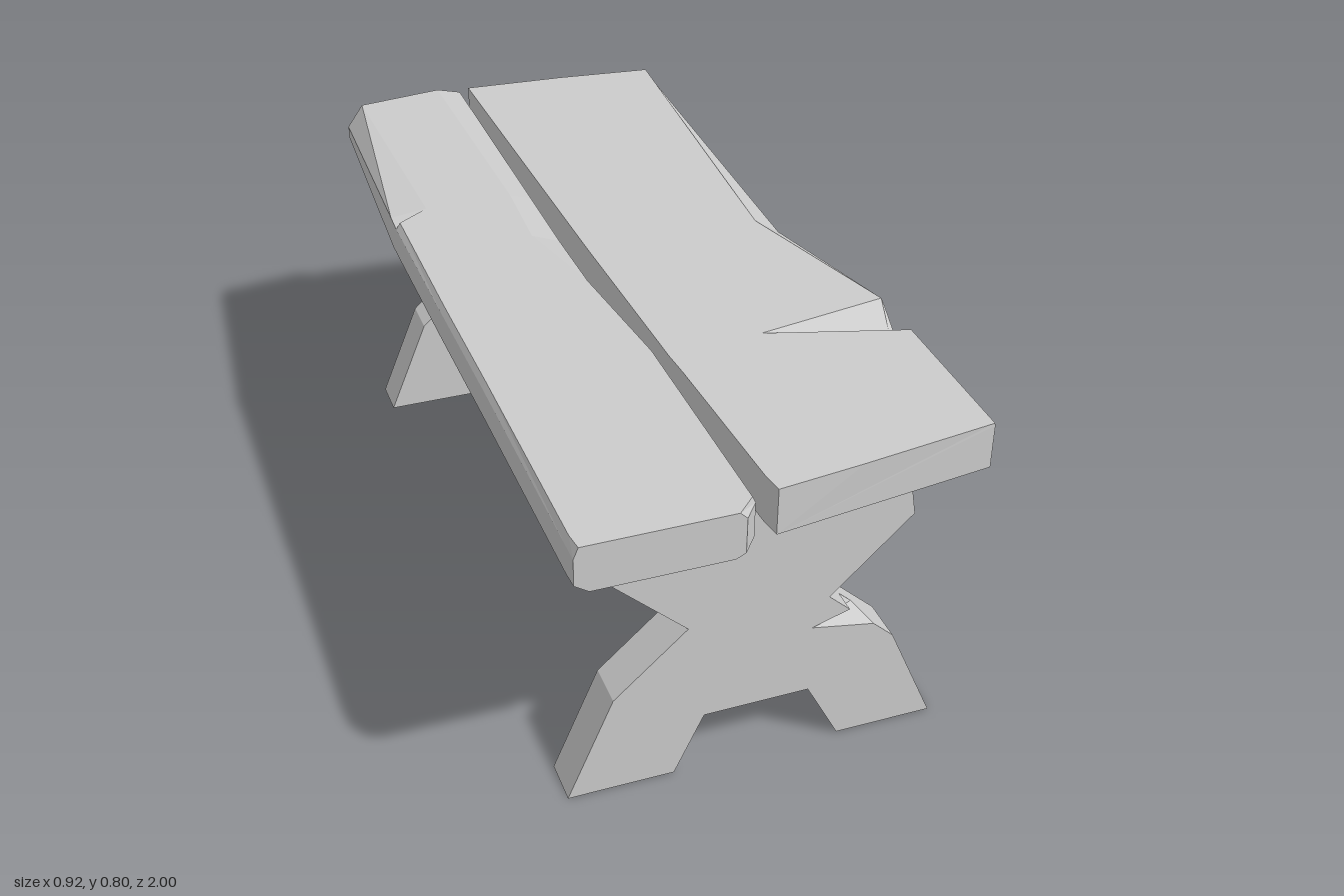
import * as THREE from 'three';

const wood = new THREE.MeshStandardMaterial({ color: 0xcccccc, flatShading: true });

function addMesh(parent, name, geometry) {
  const mesh = new THREE.Mesh(geometry, wood);
  mesh.name = name;
  parent.add(mesh);
  return mesh;
}

// Skin rings of [x, y, z] points, ordered from back (-z) to front, each
// counter-clockwise seen from the front, and close both ends with a fan.
function loft(rings) {
  const pos = [];
  const tri = (a, b, c) => pos.push(...a, ...b, ...c);
  const n = rings[0].length;
  for (let s = 0; s + 1 < rings.length; s++) {
    const a = rings[s], b = rings[s + 1];
    for (let i = 0; i < n; i++) {
      const j = (i + 1) % n;
      tri(a[i], a[j], b[j]);
      tri(a[i], b[j], b[i]);
    }
  }
  const first = rings[0], last = rings[rings.length - 1];
  for (let i = 1; i + 1 < n; i++) {
    tri(first[0], first[i + 1], first[i]);
    tri(last[0], last[i], last[i + 1]);
  }
  const g = new THREE.BufferGeometry();
  g.setAttribute('position', new THREE.Float32BufferAttribute(pos, 3));
  g.computeVertexNormals();
  return g;
}

const TOP = 0.795, BOTTOM = 0.69;

// Left board: worn bevels on both upper edges
function leftBoard() {
  // z at outer edge, z at inner edge, outer x, top outer x, outer bevel y, top inner x, inner x, inner bevel y
  const sections = [
    [-0.97, -1.0, -0.43, -0.39, 0.74, -0.18, -0.12, 0.78],
    [-0.35, -0.35, -0.46, -0.375, 0.785, -0.17, -0.12, 0.78],
    [-0.3, -0.14, -0.46, -0.45, 0.78, -0.18, -0.115, 0.77],
    [0.1, 0.1, -0.458, -0.45, 0.78, -0.125, -0.1, 0.74],
    [0.42, 0.42, -0.455, -0.447, 0.78, -0.092, -0.085, 0.77],
    [0.96, 0.96, -0.452, -0.445, 0.775, -0.09, -0.083, 0.78],
    [1.0, 1.0, -0.45, -0.44, 0.77, -0.13, -0.115, 0.78],
  ];
  return loft(sections.map(([zo, zi, xo, xto, yo, xti, xi, yi]) => {
    const outer = (x, y) => [x, y, zo], inner = (x, y) => [x, y, zi];
    return [
      outer(xo + 0.03, BOTTOM), inner(xi - 0.02, BOTTOM), inner(xi, 0.7), inner(xi, yi),
      inner(xti, TOP), outer(xto, TOP), outer(xo, yo), outer(xo, 0.71),
    ];
  }));
}

// Right board: waisted outer edge with a splintered notch near the front
function rightBoard() {
  const tip = [0.15, TOP, 0.43];
  // z at inner edge, z at outer edge, inner x, outer x, low y, high y, top outer x, top outer y, top middle point
  const sections = [
    [-0.985, -0.945, -0.1, 0.385, 0.72, 0.79, 0.385, TOP, [0.15, TOP, -0.97]],
    [-0.04, -0.04, -0.08, 0.39, 0.72, 0.755, 0.33, TOP, [0.15, TOP, -0.04]],
    [0.38, 0.38, -0.067, 0.455, 0.72, 0.785, 0.45, TOP, tip],
    [0.45, 0.45, -0.065, 0.455, 0.715, 0.735, 0.44, 0.745, tip],
    [0.52, 0.52, -0.06, 0.455, 0.71, 0.785, 0.452, TOP, tip],
    [0.91, 0.89, -0.042, 0.45, BOTTOM + 0.003, 0.79, 0.448, TOP, [0.15, TOP, 0.905]],
    [0.955, 0.892, -0.035, 0.449, BOTTOM + 0.003, 0.79, 0.447, TOP, [0.15, TOP, 0.933]],
  ];
  return loft(sections.map(([zi, zo, xi, xo, yl, yh, xt, yt, mid]) => [
    [xi, BOTTOM, zi], [xo - (yl - BOTTOM) * 0.6, BOTTOM, zo], [xo, yl, zo],
    [xo, yh, zo], [xt, yt, zo], mid, [xi, TOP, zi],
  ]));
}

// X-shaped trestle outline; the optional chip points cut into its +x edge
function trestleShape(chip = []) {
  return new THREE.Shape([
    [-0.415, 0], [-0.18, 0], [-0.115, 0.142], [0.12, 0.144], [0.195, 0], [0.415, 0],
    [0.31, 0.24], ...chip, [0.155, 0.385], [0.333, 0.555], [0.31, BOTTOM],
    [-0.31, BOTTOM], [-0.337, 0.555], [-0.155, 0.385], [-0.315, 0.24],
  ].map(([x, y]) => new THREE.Vector2(x, y)));
}

function slab(shape, depth, z) {
  return new THREE.ExtrudeGeometry(shape, { depth, bevelEnabled: false }).translate(0, 0, z);
}

// Front layer of a trestle whose chip runs out to the edge at its rear
function chippedSlab(depth, z) {
  const tip = [0.12, 0.312];
  const g = slab(trestleShape([[0.262, 0.285], tip, [0.204, 0.339]]), depth, z);
  const p = g.attributes.position;
  for (let i = 0; i < p.count; i++) {
    const atTip = Math.hypot(p.getX(i) - tip[0], p.getY(i) - tip[1]) < 1e-4;
    if (atTip && p.getZ(i) < z + depth / 2) p.setXY(i, 0.232, 0.313);
  }
  g.computeVertexNormals();
  return g;
}

export function createModel() {
  const bench = new THREE.Group();
  bench.name = 'bench';

  addMesh(bench, 'leftSeatBoard', leftBoard());
  addMesh(bench, 'rightSeatBoard', rightBoard());

  // Trestle legs, the front one in two layers for its chip
  addMesh(bench, 'backTrestle', slab(trestleShape(), 0.1, -0.84));
  const front = new THREE.Group();
  front.name = 'frontTrestle';
  bench.add(front);
  addMesh(front, 'frontTrestleRearLayer', slab(trestleShape(), 0.045, 0.72));
  addMesh(front, 'frontTrestleChippedLayer', chippedSlab(0.055, 0.765));

  return bench;
}
